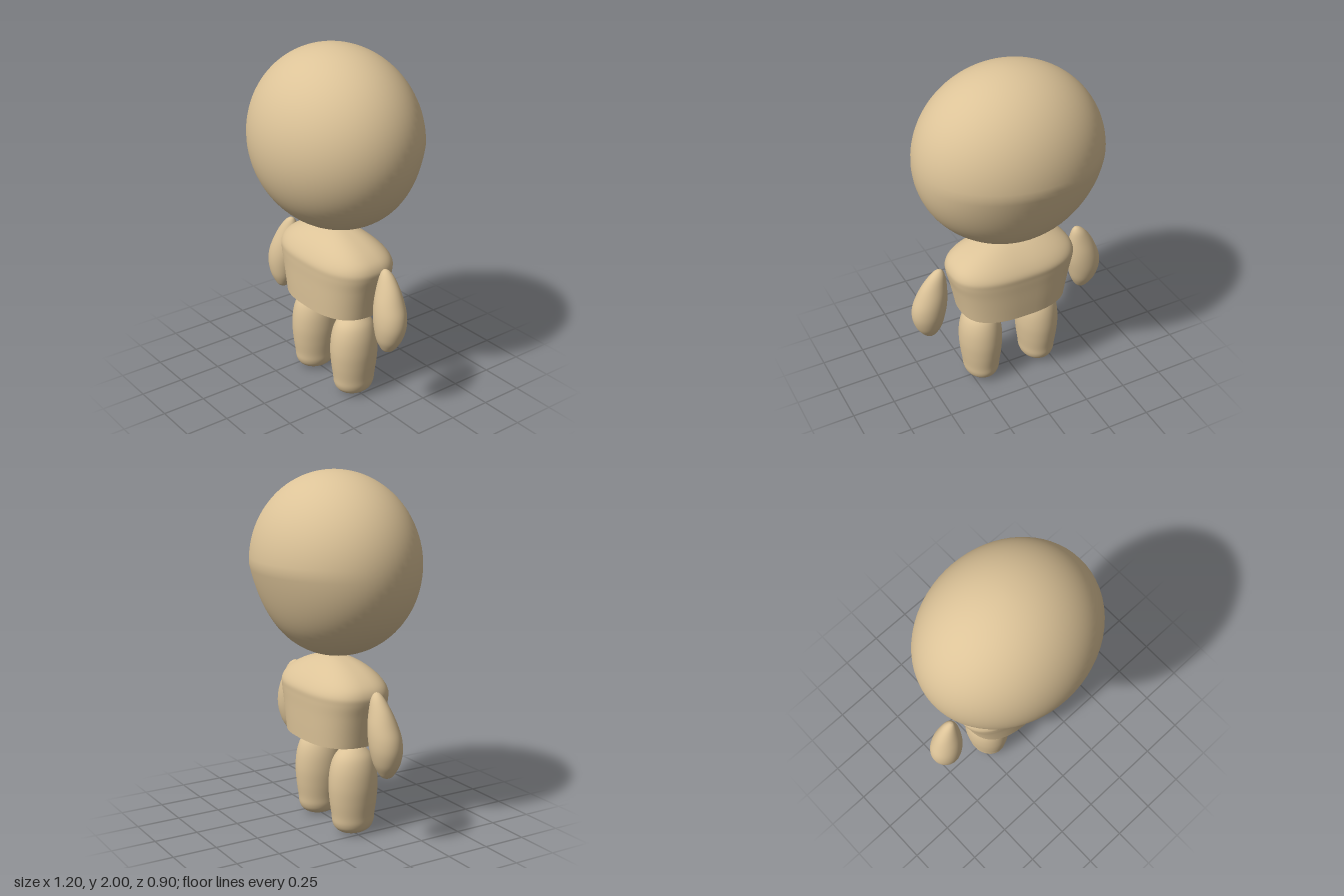
import * as THREE from 'three';
import { mergeVertices } from 'three/addons/utils/BufferGeometryUtils.js';

const SEGMENTS = 64;

// Smooth closed surface through rings [y, centreX, centreZ, radiusX, radiusZ], listed upwards.
// power 2 gives oval rings, higher powers give squarer ones.
function loft(rings, { power = 2, steps = 48, side = 1 } = {}) {
  const size = new THREE.CatmullRomCurve3(
    rings.map(([y, , , rx, rz]) => new THREE.Vector3(rx, y, rz)), false, 'catmullrom');
  const centre = new THREE.CatmullRomCurve3(
    rings.map(([y, cx, cz]) => new THREE.Vector3(cx * side, y, cz)), false, 'catmullrom');
  const bend = (v) => Math.sign(v) * Math.abs(v) ** (2 / power);
  const positions = [];
  const index = [];
  for (let i = 0; i <= steps; i++) {
    const s = size.getPoint(i / steps);
    const c = centre.getPoint(i / steps);
    for (let j = 0; j < SEGMENTS; j++) {
      const a = (j / SEGMENTS) * Math.PI * 2;
      positions.push(c.x + s.x * bend(Math.cos(a)), s.y, c.z + s.z * bend(Math.sin(a)));
      if (i === steps) continue;
      const p = i * SEGMENTS + j;
      const q = i * SEGMENTS + ((j + 1) % SEGMENTS);
      index.push(p, p + SEGMENTS, q, q, p + SEGMENTS, q + SEGMENTS);
    }
  }
  const geometry = new THREE.BufferGeometry();
  geometry.setAttribute('position', new THREE.Float32BufferAttribute(positions, 3));
  geometry.setIndex(index);
  const merged = mergeVertices(geometry, 1e-5);
  merged.computeVertexNormals();
  return merged;
}

// Egg-like head, a little flatter at the lower back
function headGeometry() {
  const sphere = new THREE.SphereGeometry(1, 64, 48);
  sphere.deleteAttribute('uv');
  sphere.deleteAttribute('normal');
  const geometry = mergeVertices(sphere, 1e-5);
  const p = geometry.attributes.position;
  for (let i = 0; i < p.count; i++) {
    const t = Math.max(0, -p.getY(i));
    if (p.getZ(i) < 0) p.setZ(i, p.getZ(i) * (1 - 0.28 * t * (1 - t)));
  }
  geometry.scale(0.531, 0.505, 0.449);
  geometry.translate(0, 1.495, 0);
  geometry.computeVertexNormals();
  return geometry;
}

export function createModel() {
  const model = new THREE.Group();
  model.name = 'figure';
  const tan = new THREE.MeshStandardMaterial({ color: 0xdcc398 });
  tan.name = 'tan';

  const add = (name, geometry) => {
    const mesh = new THREE.Mesh(geometry, tan);
    mesh.name = name;
    model.add(mesh);
  };

  add('head', headGeometry());

  // Torso: flared upwards, domed shoulders, flat underside
  const torso = [
    [0.535, 0, -0.007, 0.318, 0.216],
    [0.62, 0, -0.007, 0.334, 0.22],
    [0.71, 0, -0.007, 0.353, 0.223],
    [0.78, 0, -0.007, 0.37, 0.226],
    [0.825, 0, -0.007, 0.371, 0.225],
    [0.87, 0, -0.005, 0.345, 0.202],
    [0.915, 0, -0.002, 0.282, 0.163],
    [0.955, 0, 0, 0.19, 0.112],
    [0.982, 0, 0, 0.088, 0.055],
    [0.99, 0, 0, 0, 0],
  ];
  add('torso', loft(torso, { power: 2.6, steps: 54 }));
  const underside = [[0.535, 0, -0.007, 0, 0], torso[0]];
  add('torsoUnderside', loft(underside, { power: 2.6, steps: 1 }));

  // Legs: rounded stumps, narrower at the foot
  const leg = [
    [0.005, 0.185, 0.005, 0, 0],
    [0.012, 0.185, 0.005, 0.05, 0.06],
    [0.035, 0.185, 0.005, 0.086, 0.1],
    [0.07, 0.185, 0.005, 0.102, 0.119],
    [0.12, 0.185, 0.005, 0.108, 0.125],
    [0.2, 0.185, 0.005, 0.118, 0.136],
    [0.29, 0.185, 0.005, 0.124, 0.141],
    [0.38, 0.185, 0.005, 0.118, 0.132],
    [0.45, 0.185, 0.005, 0.097, 0.108],
    [0.495, 0.185, 0.004, 0.06, 0.066],
    [0.51, 0.185, 0.004, 0.03, 0.033],
    [0.516, 0.185, 0.004, 0, 0],
  ];

  // Arms: drops leaning outwards, pointed at the shoulder
  const arm = [
    [0.405, 0.495, 0.018, 0, 0],
    [0.415, 0.495, 0.018, 0.028, 0.026],
    [0.44, 0.497, 0.017, 0.05, 0.045],
    [0.49, 0.501, 0.014, 0.077, 0.069],
    [0.56, 0.502, 0.01, 0.095, 0.084],
    [0.63, 0.494, 0.006, 0.099, 0.086],
    [0.7, 0.48, 0.001, 0.088, 0.077],
    [0.77, 0.464, -0.004, 0.07, 0.058],
    [0.83, 0.447, -0.008, 0.044, 0.037],
    [0.86, 0.437, -0.008, 0.021, 0.018],
    [0.869, 0.433, -0.008, 0, 0],
  ];

  for (const [label, side] of [['left', 1], ['right', -1]]) {
    add(label + 'Leg', loft(leg, { side, steps: 55 }));
    add(label + 'Arm', loft(arm, { side, steps: 50 }));
  }
  return model;
}
